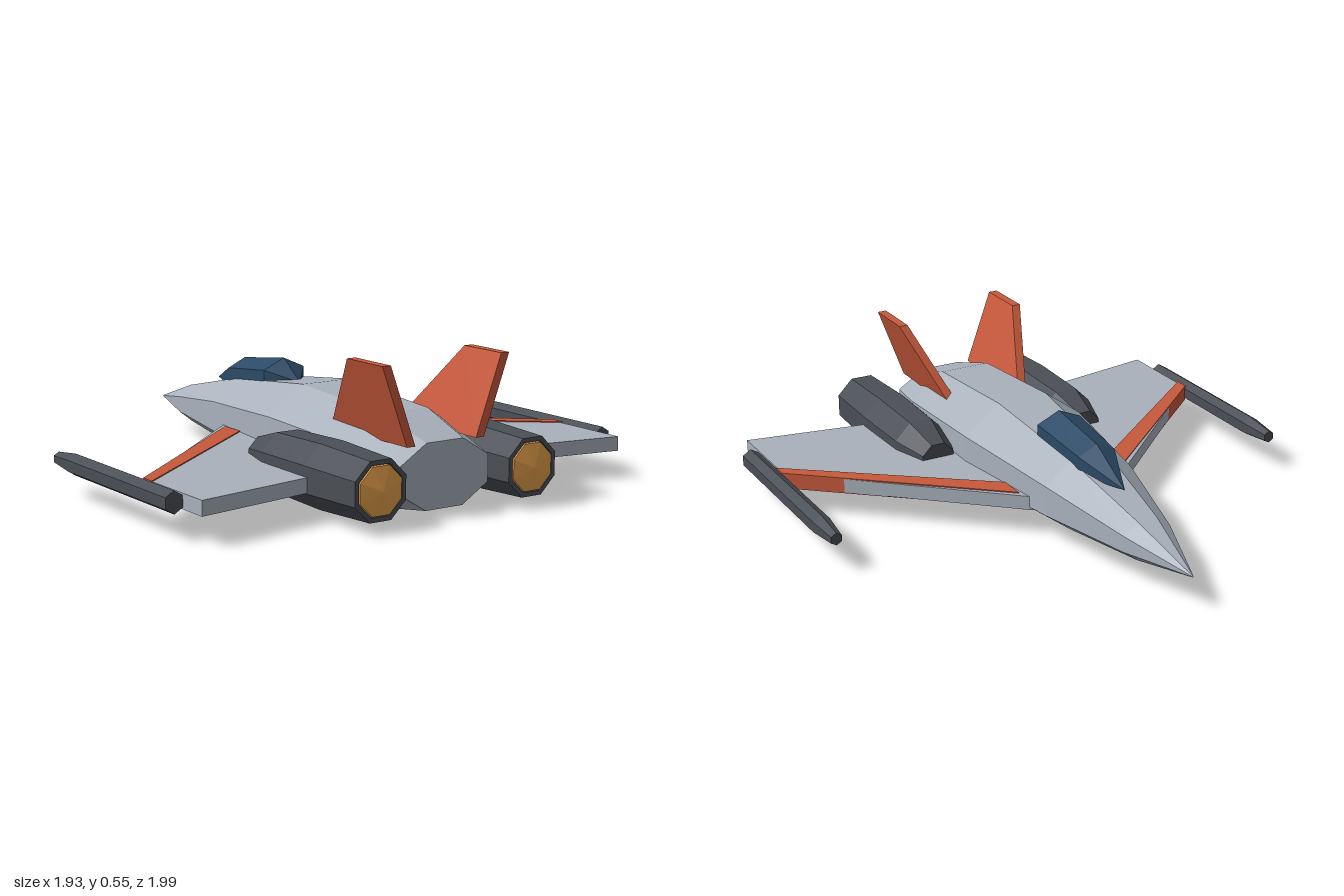
import * as THREE from 'three';

const mat = (color) => new THREE.MeshStandardMaterial({ color, flatShading: true });
const HULL = mat(0xa9b1bc), DARK = mat(0x4b4f56), ORANGE = mat(0xc8593c);
const GLASS = mat(0x2b4a66), GLOW = mat(0xe8a24c);

function add(group, name, geometry, material) {
  const mesh = new THREE.Mesh(geometry, material);
  mesh.name = name;
  group.add(mesh);
  return mesh;
}

// Skin n-sided rings along z; each section is [z, centreY, radiusX, radiusY]
function loft(sections, n, phase, cx = 0) {
  const pos = [];
  const point = ([z, cy, rx, ry], j) => {
    const t = phase + (j / n) * Math.PI * 2;
    return [cx + rx * Math.cos(t), cy + ry * Math.sin(t), z];
  };
  for (let i = 0; i < sections.length - 1; i++) {
    const s = sections[i], e = sections[i + 1];
    for (let j = 0; j < n; j++) {
      const a = point(s, j), b = point(s, j + 1), c = point(e, j + 1), d = point(e, j);
      if (s[2] > 0) pos.push(...a, ...b, ...c);
      if (e[2] > 0) pos.push(...a, ...c, ...d);
      if (s[2] === 0) pos.splice(pos.length - 9, 9, ...a, ...c, ...d);
    }
  }
  const g = new THREE.BufferGeometry();
  g.setAttribute('position', new THREE.Float32BufferAttribute(pos, 3));
  g.computeVertexNormals();
  return g;
}

const shapeOf = (pts) => new THREE.Shape(pts.map(([x, y]) => new THREE.Vector2(x, y)));

// Flat slab from an [x, z] outline between two heights
function slab(pts, side, y0, y1) {
  const g = new THREE.ExtrudeGeometry(shapeOf(pts.map(([x, z]) => [x * side, z])),
    { depth: y1 - y0, bevelEnabled: false });
  return g.rotateX(Math.PI / 2).translate(0, y1, 0);
}

// Upright fin from a [z, y] outline, sheared outwards
function leaningFin(pts, side) {
  const thick = 0.035, lean = 0.37;
  const g = new THREE.ExtrudeGeometry(shapeOf(pts.map(([z, y]) => [-z, y])),
    { depth: thick, bevelEnabled: false });
  g.rotateY(Math.PI / 2).translate(-thick / 2, 0, 0);
  const p = g.attributes.position;
  for (let i = 0; i < p.count; i++) {
    p.setX(i, p.getX(i) + side * (0.148 + lean * (p.getY(i) - 0.265)));
  }
  g.computeVertexNormals();
  return g;
}

export function createModel() {
  const model = new THREE.Group();
  model.name = 'spacecraft';
  const K = 1 / Math.cos(Math.PI / 8); // flat-to-corner factor of an octagon

  // Fuselage: [z, half width, bottom, top]
  const hull = [
    [-0.99, 0.003, 0.132, 0.138], [-0.7, 0.095, 0.08, 0.228], [-0.3, 0.182, 0.04, 0.317],
    [0.2, 0.25, 0.005, 0.37], [0.68, 0.243, 0.005, 0.337], [0.905, 0.19, 0.035, 0.27],
  ].map(([z, w, b, t]) => [z, (b + t) / 2, w * K, ((t - b) / 2) * K]);
  hull.unshift([-0.993, 0.135, 0, 0]);
  hull.push([0.905, 0.1525, 0, 0]);
  add(model, 'fuselage', loft(hull, 8, Math.PI / 8), HULL);

  // Canopy
  add(model, 'canopy', loft([
    [-0.55, 0.28, 0, 0], [-0.355, 0.315, 0.087, 0.07],
    [-0.08, 0.34, 0.104, 0.08], [0.03, 0.34, 0, 0],
  ], 6, Math.PI / 2), GLASS);

  for (const side of [1, -1]) {
    const half = new THREE.Group();
    half.name = side > 0 ? 'leftSide' : 'rightSide';
    model.add(half);

    // Wing and its leading edge stripe
    add(half, 'wing', slab([[0.15, -0.24], [0.2, -0.2], [0.9, 0.435], [0.9, 0.8], [0.15, 0.67]],
      side, 0.108, 0.162), HULL);
    add(half, 'wingStripe', slab([[0.215, -0.16], [0.905, 0.43], [0.905, 0.487], [0.215, -0.055]],
      side, 0.104, 0.166), ORANGE);

    // Wing tip pod
    add(half, 'tipPod', loft([
      [-0.13, 0.135, 0, 0], [-0.13, 0.135, 0.024, 0.024], [0, 0.135, 0.038, 0.04],
      [0.68, 0.135, 0.038, 0.04], [0.68, 0.135, 0, 0],
    ], 6, Math.PI / 2, side * 0.932), DARK);

    // Engine with a recessed nozzle lip
    const engine = [[0.28, 0], [0.28, 0.065], [0.43, 0.108], [0.7, 0.115],
      [0.98, 0.104], [0.98, 0.088], [0.95, 0.085], [0.95, 0]]
      .map(([z, r]) => [z, 0.152, r * K, r * K]);
    add(half, 'engine', loft(engine, 8, Math.PI / 8, side * 0.325), DARK);
    add(half, 'engineGlow', loft([
      [0.955, 0.152, 0.085 * K, 0.085 * K], [0.982, 0.152, 0.084 * K, 0.084 * K],
      [0.997, 0.152, 0, 0],
    ], 8, Math.PI / 8, side * 0.325), GLOW);

    // Tail fin
    add(half, 'tailFin', leaningFin(
      [[0.47, 0.265], [0.91, 0.265], [0.91, 0.55], [0.71, 0.55]], side), ORANGE);
  }
  return model;
}
